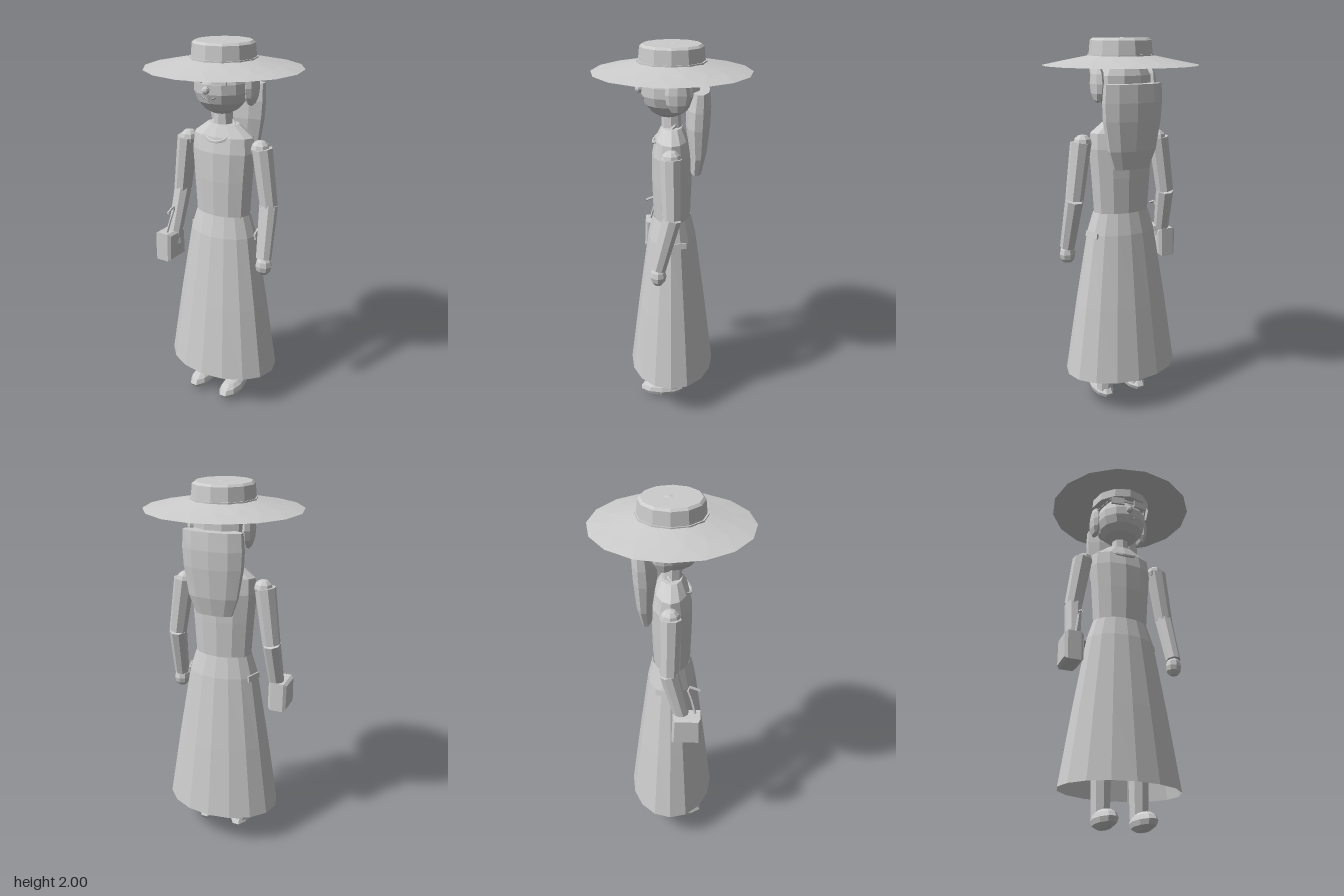
import * as THREE from 'three';

export function createModel() {
  const model = new THREE.Group();
  const clay = new THREE.MeshStandardMaterial({ color: 0xcccccc, flatShading: true, side: THREE.DoubleSide });
  clay.name = 'light grey';

  const add = (name, geo, x = 0, y = 0, z = 0) => {
    const mesh = new THREE.Mesh(geo, clay);
    mesh.name = name;
    mesh.position.set(x, y, z);
    model.add(mesh);
    return mesh;
  };
  const ball = (name, pos, radii, w = 8, h = 6) => {
    const mesh = add(name, new THREE.SphereGeometry(1, w, h), ...pos);
    mesh.scale.set(...radii);
    return mesh;
  };
  // Tapered rod between two points
  const rod = (name, a, b, ra, rb, sides = 8) => {
    const p = new THREE.Vector3(...a), q = new THREE.Vector3(...b);
    const mesh = add(name, new THREE.CylinderGeometry(rb, ra, p.distanceTo(q), sides));
    mesh.position.copy(p).lerp(q, 0.5);
    mesh.quaternion.setFromUnitVectors(new THREE.Vector3(0, 1, 0), q.sub(p).normalize());
    return mesh;
  };
  // Skin over elliptical rows [y, rx, rz, z, twist], listed from bottom to top
  const loft = (rows, sides, capBottom, capTop) => {
    const pos = [], index = [];
    rows.forEach(([y, rx, rz, cz = 0, twist = 0]) => {
      for (let i = 0; i < sides; i++) {
        const a = (i + twist) / sides * Math.PI * 2;
        pos.push(Math.sin(a) * rx, y, cz + Math.cos(a) * rz);
      }
    });
    for (let r = 0; r < rows.length - 1; r++) {
      for (let i = 0; i < sides; i++) {
        const a = r * sides + i, b = r * sides + (i + 1) % sides;
        index.push(a, b, a + sides, b, b + sides, a + sides);
      }
    }
    const cap = (r, up) => {
      const [y, , , cz = 0] = rows[r], c = pos.length / 3;
      pos.push(0, y, cz);
      for (let i = 0; i < sides; i++) {
        const a = r * sides + i, b = r * sides + (i + 1) % sides;
        index.push(c, up ? a : b, up ? b : a);
      }
    };
    if (capBottom) cap(0, false);
    if (capTop) cap(rows.length - 1, true);
    const geo = new THREE.BufferGeometry();
    geo.setAttribute('position', new THREE.Float32BufferAttribute(pos, 3));
    geo.setIndex(index);
    geo.computeVertexNormals();
    return geo;
  };

  // Dress
  add('skirt', loft([[0.2, 0.32, 0.233], [0.6, 0.258, 0.182], [1.0, 0.19, 0.127], [1.113, 0.155, 0.1]], 16));
  add('bodice', loft([
    [1.1, 0.155, 0.097], [1.3, 0.168, 0.103], [1.45, 0.18, 0.102],
    [1.53, 0.172, 0.085], [1.59, 0.09, 0.055],
  ], 12, true, true));

  // Neck and necklace
  rod('neck', [0, 1.55, 0], [0, 1.68, 0.005], 0.055, 0.045);
  const necklace = add('necklace', new THREE.TorusGeometry(0.08, 0.008, 5, 14), 0, 1.56, 0.035);
  necklace.rotation.x = -0.87;

  // Head and face
  ball('head', [0, 1.778, 0.015], [0.143, 0.14, 0.14], 12, 9);
  ball('nose', [0, 1.777, 0.163], [0.02, 0.02, 0.02]);
  const smile = add('mouth', new THREE.TorusGeometry(0.06, 0.006, 4, 6, 1.4), 0, 1.79, 0.137);
  smile.rotation.z = -Math.PI / 2 - 0.7;
  const frame = (w, h) => new THREE.Shape()
    .moveTo(-w, -h).lineTo(w, -h).lineTo(w, h).lineTo(-w, h).closePath();
  const lens = frame(0.038, 0.021);
  const lensGeo = new THREE.ExtrudeGeometry(lens, { depth: 0.012, bevelEnabled: false });
  for (const s of [-1, 1]) {
    add('glassesLens', lensGeo, s * 0.066, 1.83, 0.143).rotation.y = s * 0.15;
    rod('glassesArm', [s * 0.104, 1.84, 0.14], [s * 0.15, 1.83, 0], 0.005, 0.005, 4);
  }
  add('glassesBridge', new THREE.BoxGeometry(0.07, 0.012, 0.008), 0, 1.835, 0.152);

  // Hair
  ball('hairCap', [0, 1.79, -0.04], [0.15, 0.125, 0.105], 10, 7);
  add('backHair', loft([
    [1.355, 0.1, 0.03, -0.125], [1.45, 0.135, 0.045, -0.133],
    [1.6, 0.16, 0.062, -0.132], [1.69, 0.165, 0.062, -0.135], [1.78, 0.16, 0.05, -0.14],
  ], 10, true, true));

  // Hat
  add('hatBrim', loft([
    [1.865, 0.4, 0.4], [1.887, 0.29, 0.29, 0, 0.55], [1.912, 0.165, 0.165, 0, 1.1],
  ], 16));
  add('hatBand', loft([[1.86, 0.17, 0.174], [1.918, 0.167, 0.174]], 12, false, true));
  add('hatCrown', loft([
    [1.9, 0.163, 0.167], [1.985, 0.155, 0.158], [1.996, 0.142, 0.146],
  ], 12, false, true));
  add('hatButton', new THREE.ConeGeometry(0.034, 0.006, 10), 0, 1.997, -0.013);

  for (const s of [-1, 1]) {
    // Side hair
    ball('sideHair', [s * 0.143, 1.778, -0.03], [0.032, 0.095, 0.062], 8, 6);
    // Arms
    const shoulder = [s * 0.225, 1.485, 0], elbow = [s * 0.268, 1.19, -0.005], wrist = [s * 0.285, 0.92, 0.065];
    ball('shoulder', [s * 0.215, 1.482, 0], [0.05, 0.045, 0.05]);
    rod('upperArm', shoulder, elbow, 0.055, 0.048);
    rod('forearm', elbow, wrist, 0.048, 0.04);
    ball('hand', [s * 0.285, 0.882, 0.065], [0.045, 0.053, 0.042]);
    // Legs and shoes
    rod('leg', [s * 0.1, 0.06, 0], [s * 0.1, 0.95, 0], 0.048, 0.075);
    ball('shoe', [s * 0.1, 0.05, 0.055], [0.058, 0.048, 0.125], 10, 6);
    // Pocket flaps
    const flap = add('pocketFlap', new THREE.BoxGeometry(0.01, 0.03, 0.09), s * 0.184, 1.0, -0.035);
    flap.rotation.set(0, s * 0.3, s * 0.17);
  }

  // Handbag with bevelled edges
  const bagShape = new THREE.Shape()
    .moveTo(-0.065, -0.068).lineTo(0.065, -0.068).lineTo(0.06, 0.068).lineTo(-0.06, 0.068).closePath();
  const bagGeo = new THREE.ExtrudeGeometry(bagShape, {
    depth: 0.07, bevelThickness: 0.015, bevelSize: 0.012, bevelSegments: 1,
  });
  bagGeo.translate(0, 0, -0.035);
  add('handbag', bagGeo, -0.3, 0.88, 0.085).rotation.y = Math.PI / 2;
  const strap = new THREE.CatmullRomCurve3([
    [-0.29, 0.95, 0.13], [-0.275, 1.03, 0.11], [-0.262, 1.105, 0.09], [-0.262, 1.085, 0.15],
  ].map(p => new THREE.Vector3(...p)));
  add('handbagStrap', new THREE.TubeGeometry(strap, 8, 0.007, 5));

  return model;
}
